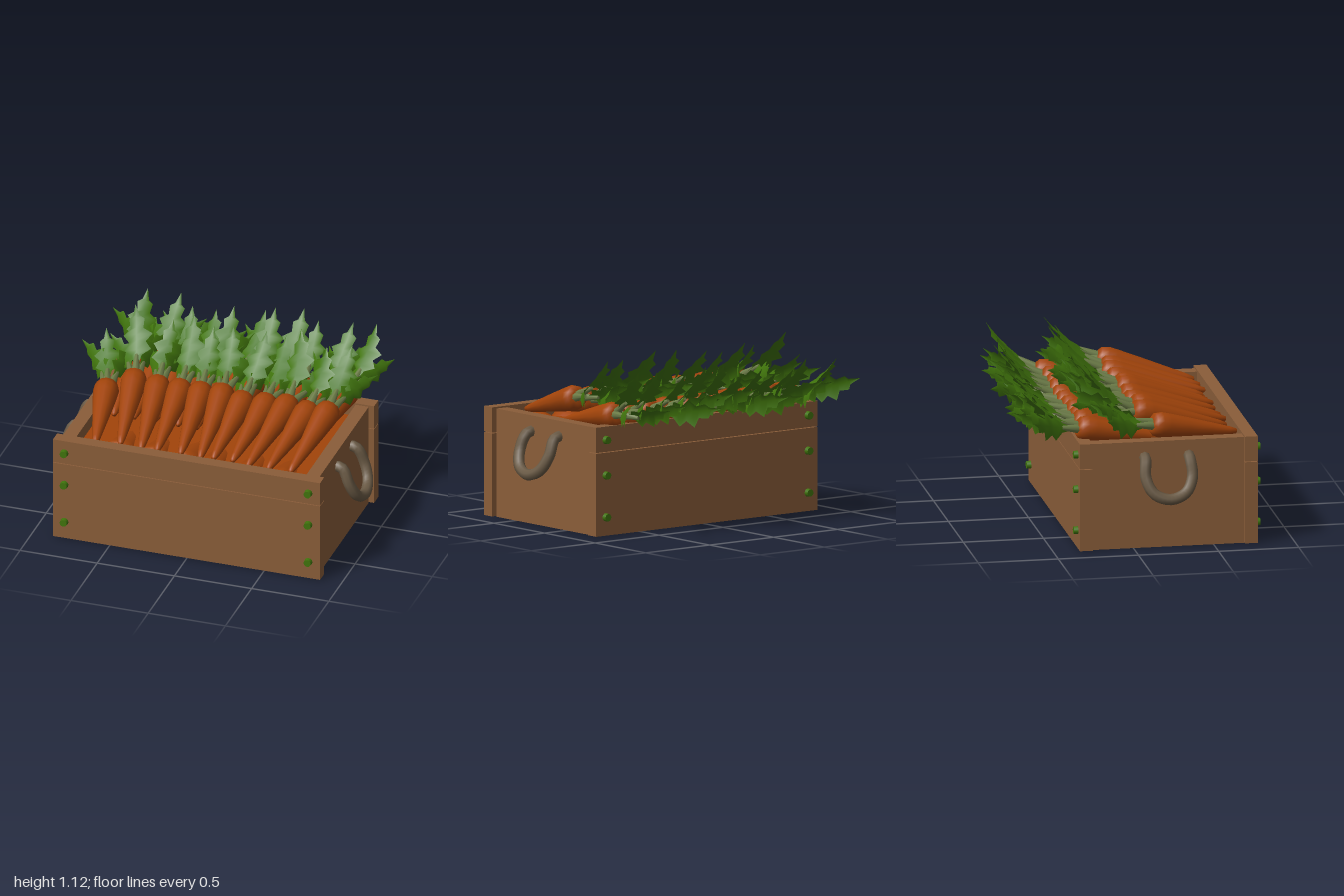
import * as THREE from 'three';

const mat = (name, color, side = THREE.FrontSide) => {
  const m = new THREE.MeshStandardMaterial({ color, side });
  m.name = name;
  return m;
};

// Jagged leaf: rows of [half width, distance] along a creased, curled midline
function leafGeometry() {
  const rows = [[.04, .2], [.07, .32], [.19, .42], [.12, .52], [.21, .64],
    [.09, .70], [.11, .83], [.045, .86], [0, 1]];
  const pos = [], index = [];
  rows.forEach(([w, t], i) => {
    const z = 0.26 * t * t, edge = z - w * .35;
    pos.push(-w, t, edge, 0, t - (w > .15 ? .04 : 0), z, w, t, edge);
    if (i) {
      const a = (i - 1) * 3, b = i * 3;
      for (let k = 0; k < 2; k++) index.push(a + k, a + k + 1, b + k + 1, a + k, b + k + 1, b + k);
    }
  });
  const g = new THREE.BufferGeometry();
  g.setAttribute('position', new THREE.Float32BufferAttribute(pos, 3));
  g.setIndex(index);
  g.computeVertexNormals();
  return g;
}

export function createModel() {
  const root = new THREE.Group();
  root.name = 'carrotCrate';
  const wood = mat('wood', 0x8a5d39);
  const orange = mat('carrotOrange', 0xa2440a);
  const green = mat('leafGreen', 0x40740c, THREE.DoubleSide);
  const stemGreen = mat('stemGreen', 0x6d7d48);
  const rope = mat('rope', 0x6a5a45);

  const add = (parent, name, geo, material, x = 0, y = 0, z = 0) => {
    const m = new THREE.Mesh(geo, material);
    m.name = name;
    m.position.set(x, y, z);
    parent.add(m);
    return m;
  };
  const box = (name, material, x0, x1, y0, y1, z0, z1) => add(root, name,
    new THREE.BoxGeometry(x1 - x0, y1 - y0, z1 - z0), material,
    (x0 + x1) / 2, (y0 + y1) / 2, (z0 + z1) / 2);

  // Crate: two planks front and back, solid ends, floor
  for (const [name, z0, z1] of [['front', .69, .77], ['back', -.34, -.26]]) {
    box(name + 'LowerPlank', wood, -.865, .865, .005, .52, z0, z1);
    box(name + 'UpperPlank', wood, -.865, .865, .525, .682, z0, z1);
  }
  box('leftEnd', wood, .745, .83, 0, .672, -.26, .69);
  box('rightEnd', wood, -.83, -.745, 0, .672, -.26, .69);
  box('floor', wood, -.745, .745, .02, .06, -.26, .69);
  box('carrotBed', orange, -.74, .74, .56, .6, -.25, .585);

  // Bolts
  const boltGeo = new THREE.CylinderGeometry(.023, .026, .03, 12);
  for (const x of [-.79, .79]) for (const y of [.6, .38, .12]) for (const s of [1, -1]) {
    const b = add(root, 'bolt', boltGeo, green, x, y, s > 0 ? .782 : -.352);
    b.rotation.x = s * Math.PI / 2;
  }

  // Rope handles
  for (const s of [1, -1]) {
    const half = [[.79, .575, .138], [.865, .565, .138], [.915, .46, .145], [.95, .37, .1]];
    const pts = half.map(([x, y, z]) => new THREE.Vector3(s * x, y, .208 + z));
    pts.push(new THREE.Vector3(s * .964, .333, .208));
    half.slice().reverse().forEach(([x, y, z]) => pts.push(new THREE.Vector3(s * x, y, .208 - z)));
    add(root, s > 0 ? 'leftHandle' : 'rightHandle',
      new THREE.TubeGeometry(new THREE.CatmullRomCurve3(pts), 32, .035, 8), rope);
  }

  // Carrot body, tip at the origin and crown at y = 0.64
  const profile = [[0, 0], [.016, .008], [.026, .06], [.042, .2], [.062, .38], [.076, .52],
    [.08, .575], [.07, .62], [.045, .642], [0, .635]];
  const bodyGeo = new THREE.LatheGeometry(profile.map(p => new THREE.Vector2(...p)), 12);
  const stemGeo = new THREE.CylinderGeometry(.011, .03, .17, 7).translate(0, .085, 0);
  const leafGeo = leafGeometry();
  let seed = 7;
  const rnd = () => (seed = (seed * 16807) % 2147483647) / 2147483647;
  const jitter = a => (rnd() * 2 - 1) * a;

  const carrot = (head, tip, leafy = true, fat = 1) => {
    const g = new THREE.Group();
    g.name = 'carrot';
    const h = new THREE.Vector3(...head), t = new THREE.Vector3(...tip);
    const y = h.clone().sub(t), len = y.length() / .64;
    y.normalize();
    const x = y.clone().cross(new THREE.Vector3(0, 1, 0)).normalize();
    const z = x.clone().cross(y);
    g.quaternion.setFromRotationMatrix(new THREE.Matrix4().makeBasis(x, y, z));
    g.position.copy(t);
    root.add(g);
    add(g, 'carrotBody', bodyGeo, orange).scale.set(fat, len, fat);
    if (!leafy) return;
    // One broad upper leaf and two side leaves curling outward: [tilt, spread, roll, length]
    for (const [tilt, spread, roll, size] of [[.2, 0, 0, .43], [-.08, .2, -1.05, .41], [-.03, -.2, 1.05, .39]]) {
      const f = new THREE.Group();
      f.name = 'leafStalk';
      f.position.set(-spread * .09, .62 * len, tilt * .05);
      f.rotation.set(tilt + jitter(.13), 0, spread + jitter(.12));
      g.add(f);
      add(f, 'stem', stemGeo, stemGreen);
      const leaf = add(f, 'leaf', leafGeo, green);
      leaf.rotation.y = roll + jitter(.25);
      leaf.scale.setScalar(size * (1 + jitter(.1)));
    }
  };

  // Front row on top, back row behind
  const frontHeads = [-.73, -.58, -.42, -.28, -.145, -.005, .135, .28, .42, .56, .69];
  const frontTips = [-.62, -.47, -.33, -.23, -.08, .05, .13, .25, .36, .49, .63];
  frontHeads.forEach((x, i) => {
    const end = i === 0;
    carrot([x, end ? .755 : .8 + jitter(.012), end ? .13 : .045 + jitter(.015)],
      [frontTips[i], .655, end ? .685 : .655 + jitter(.02)]);
  });
  const backHeads = [-.69, -.545, -.405, -.275, -.15, -.015, .1, .265, .4, .55, .69];
  backHeads.forEach(x => carrot([x, .742 + jitter(.01), -.325 + jitter(.012)],
    [x * .9 + jitter(.03), .635, .28]));

  // Lower layer, crowns against the front plank
  for (const [x, z] of [[-.5, .65], [-.28, .655], [-.07, .66], [.1, .685], [.34, .685], [.56, .685]]) {
    carrot([x, .53, z], [x + .03, .5, .05], false, 1.45);
  }
  return root;
}
